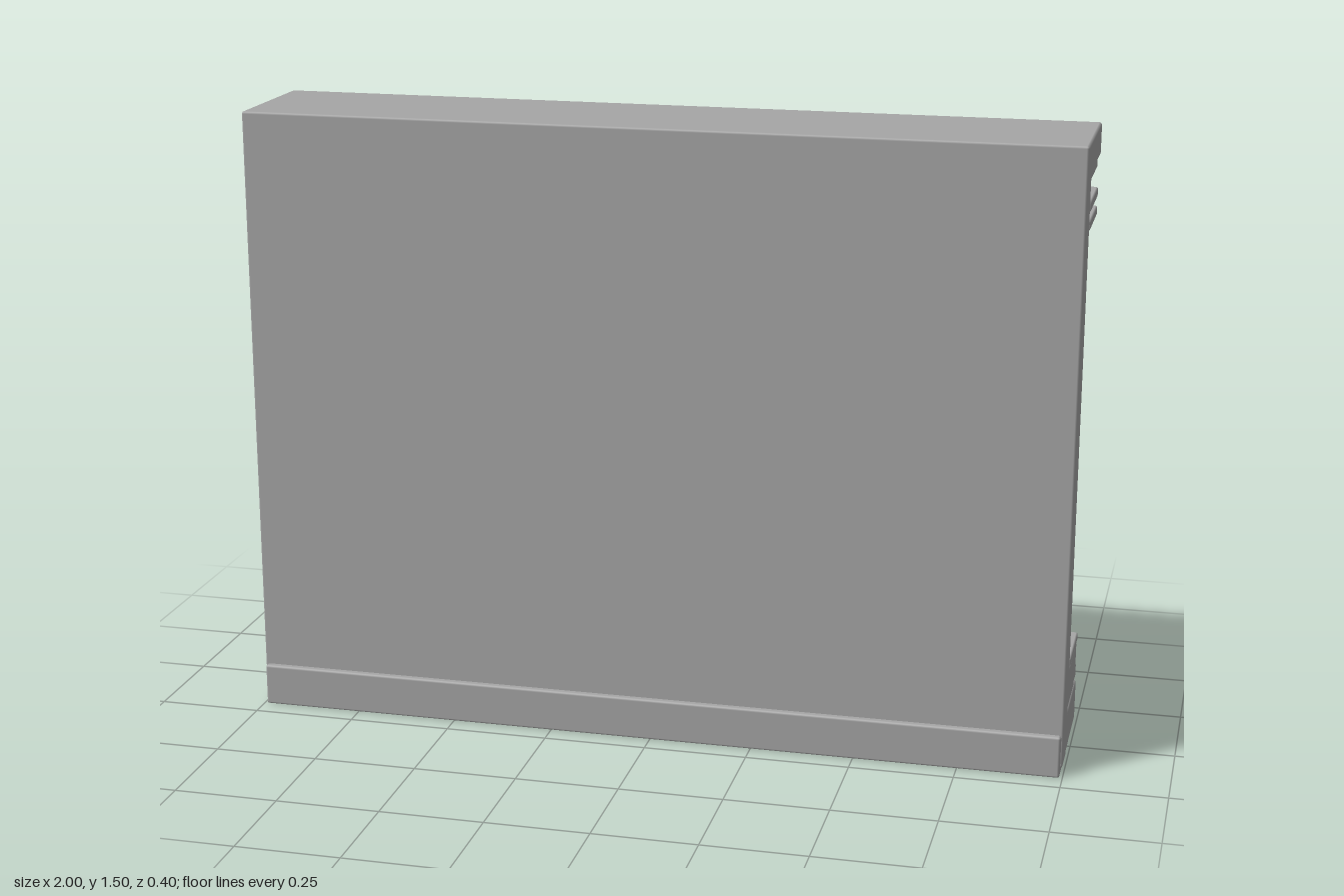
import * as THREE from 'three';
import { RoundedBoxGeometry } from 'three/addons/geometries/RoundedBoxGeometry.js';

const stone = new THREE.MeshStandardMaterial({ color: 0xa6a6a6 });
stone.name = 'greyStone';

const BAY = 0.636;      // spacing of bays and pilasters
const SPRING = 1.115;   // height where the arches begin
const FLOOR = 0.155;    // top of the plinth

function add(parent, name, geometry, x = 0, y = 0, z = 0) {
  const mesh = new THREE.Mesh(geometry, stone);
  mesh.name = name;
  mesh.position.set(x, y, z);
  parent.add(mesh);
  return mesh;
}

// Box given by half width, height range and depth range
function block(parent, name, halfX, y0, y1, z0, z1, bevel = 0, x = 0) {
  const size = [halfX * 2, y1 - y0, z1 - z0];
  const geometry = bevel
    ? new RoundedBoxGeometry(...size, 1, bevel)
    : new THREE.BoxGeometry(...size);
  return add(parent, name, geometry, x, (y0 + y1) / 2, (z0 + z1) / 2);
}

// Round-headed outline
function traceArch(path, r, bottom) {
  path.moveTo(-r, bottom);
  path.lineTo(r, bottom);
  path.lineTo(r, SPRING);
  path.absarc(0, SPRING, r, 0, Math.PI, false);
  path.lineTo(-r, bottom);
  return path;
}

// Extruded arch, hollow when an inner radius is given
function archGeometry(outer, inner, z0, z1, bottom = FLOOR, innerBottom = bottom + 0.015) {
  const shape = traceArch(new THREE.Shape(), outer, bottom);
  if (inner) shape.holes.push(traceArch(new THREE.Path(), inner, innerBottom));
  const geometry = new THREE.ExtrudeGeometry(shape, {
    depth: z1 - z0, bevelEnabled: false, curveSegments: 24,
  });
  return geometry.translate(0, 0, z0);
}

// Spiral with a short tail
function scrollGeometry(side) {
  const points = [];
  for (let i = 0; i <= 28; i++) {
    const t = i / 28;
    const angle = -Math.PI / 2 + t * Math.PI * 3.4;
    const r = 0.042 * (1 - t) + 0.008;
    points.push(new THREE.Vector3(-side * r * Math.cos(angle), r * Math.sin(angle), 0));
  }
  return new THREE.TubeGeometry(new THREE.CatmullRomCurve3(points), 48, 0.006, 6);
}

function makeBay(x) {
  const bay = new THREE.Group();
  bay.name = 'archedBay';
  bay.position.x = x;
  add(bay, 'panel', archGeometry(0.23, 0, 0.03, 0.1));
  add(bay, 'archBand', archGeometry(0.28, 0.232, 0, 0.1));
  add(bay, 'innerMoulding', archGeometry(0.24, 0.222, -0.02, 0.06));
  block(bay, 'sill', 0.25, FLOOR, FLOOR + 0.013, -0.035, 0.05);

  // Studs along both jambs and around the arch
  const stud = new THREE.SphereGeometry(0.012, 10, 8);
  for (let i = 1; i <= 5; i++)
    for (const side of [-1, 1]) add(bay, 'stud', stud, side * 0.257, SPRING - i * 0.18, 0);
  for (let i = 0; i <= 14; i++) {
    const a = (i / 14) * Math.PI;
    add(bay, 'stud', stud, 0.257 * Math.cos(a), SPRING + 0.257 * Math.sin(a), 0);
  }
  for (const side of [-1, 1]) add(bay, 'scroll', scrollGeometry(side), side * 0.17, 0.285, 0.026);
  return bay;
}

function makePilaster(x) {
  const pilaster = new THREE.Group();
  pilaster.name = 'pilaster';
  pilaster.position.x = x;
  block(pilaster, 'pedestal', 0.045, FLOOR, 0.24, -0.085, 0.1, 0.005);
  block(pilaster, 'footSlab', 0.047, 0.245, 0.265, -0.083, 0.1, 0.004);
  block(pilaster, 'footNeck', 0.038, 0.235, 0.25, -0.06, 0.1);

  // Eight-sided shaft, narrower than deep
  const shaft = new THREE.CylinderGeometry(1, 1, 1.04, 8).toNonIndexed();
  shaft.rotateY(Math.PI / 8);
  const apothem = Math.cos(Math.PI / 8);
  shaft.scale(0.036 / apothem, 1, 0.065 / apothem);
  shaft.computeVertexNormals();
  add(pilaster, 'shaft', shaft, 0, 0.78, 0.02);
  block(pilaster, 'shaftBacking', 0.025, 0.26, 1.3, 0.05, 0.1);

  block(pilaster, 'lowerCapital', 0.047, 1.293, 1.316, -0.083, 0.1, 0.004);
  block(pilaster, 'capitalNeck', 0.036, 1.316, 1.336, -0.055, 0.1);
  block(pilaster, 'upperCapital', 0.047, 1.336, 1.36, -0.083, 0.1, 0.004);
  const boss = add(pilaster, 'capitalBoss', new THREE.OctahedronGeometry(0.02), 0, 1.348, -0.083);
  boss.scale.z = 0.7;
  return pilaster;
}

export function createModel() {
  const model = new THREE.Group();
  model.name = 'arcadeWall';

  // Wall slab and stepped plinth
  block(model, 'wall', 0.998, 0.02, 1.5, 0.1, 0.185, 0.006);
  block(model, 'base', 0.993, 0, 0.103, -0.185, 0.2, 0.006);
  block(model, 'lowerStep', 0.99, 0.1, 0.122, -0.155, 0.12);
  block(model, 'upperStep', 0.993, 0.12, FLOOR, -0.165, 0.12, 0.005);

  // Row of tiles along the base
  const tile = new RoundedBoxGeometry(0.068, 0.062, 0.025, 1, 0.004);
  for (let i = 0; i < 24; i++) add(model, 'baseTile', tile, (i - 11.5) * 0.0828, 0.06, -0.1875);

  // Overhanging cornice
  block(model, 'cornice', 0.998, 1.423, 1.5, -0.147, 0.185, 0.006);
  block(model, 'corniceUnderside', 0.992, 1.398, 1.428, -0.135, 0.14);

  for (let i = -1; i <= 1; i++) model.add(makeBay(i * BAY));
  for (let i = 0; i < 4; i++) model.add(makePilaster((i - 1.5) * (0.953 / 1.5)));
  return model;
}
